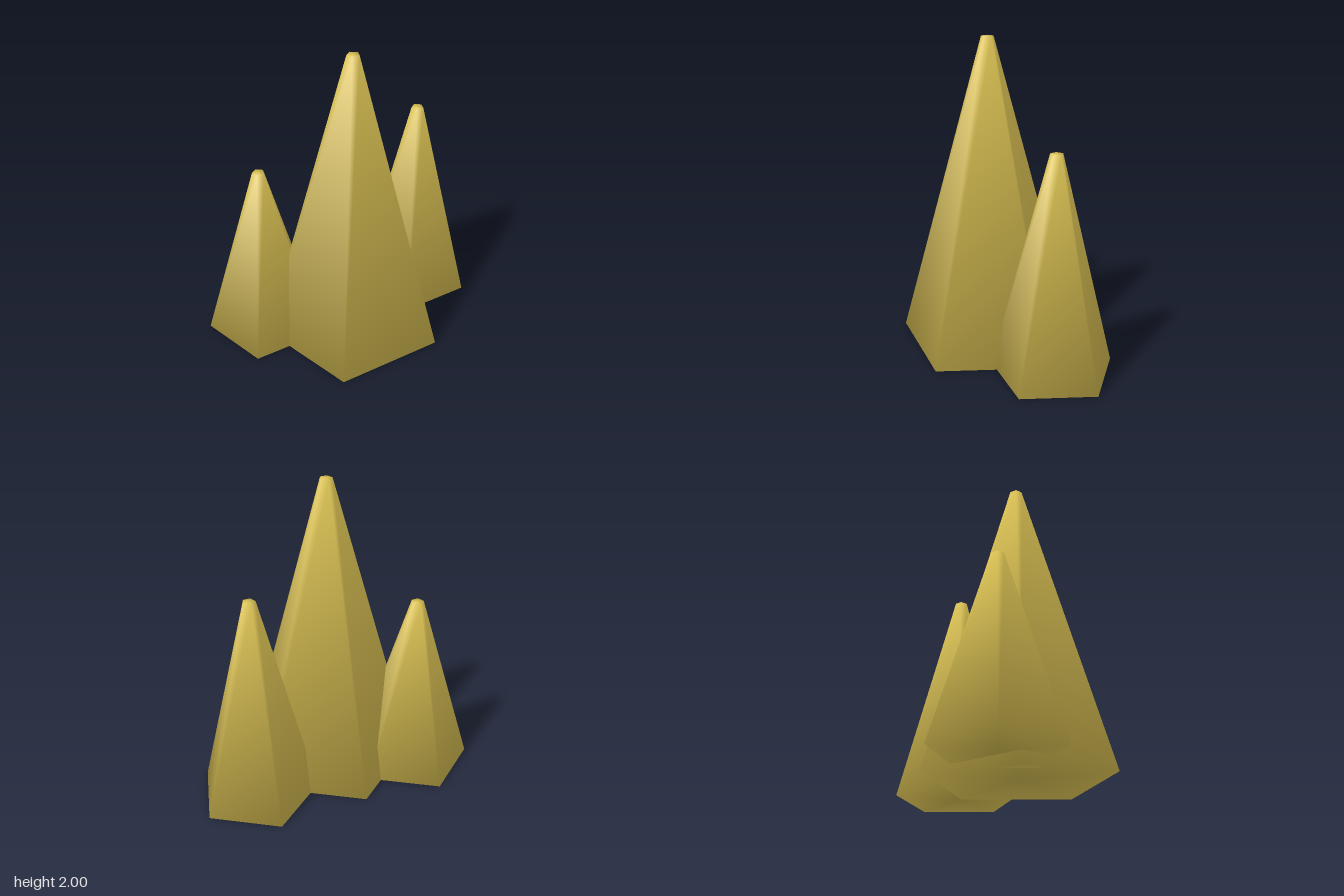
import * as THREE from 'three';

// Five-sided tapered spike whose normals are shared between sides and caps
function spikeGeometry(bottomRadius, topRadius, height) {
  const geometry = new THREE.CylinderGeometry(topRadius, bottomRadius, height, 5, 1, false, Math.PI);
  geometry.translate(0, height / 2, 0);
  const position = geometry.attributes.position;
  const normal = geometry.attributes.normal;
  const n = new THREE.Vector3();

  // Angle-weighted rim normals: one cap corner plus two side corners
  const inset = (bottomRadius - topRadius) * Math.cos(Math.PI / 5);
  const slope = Math.atan2(inset, height);
  const halfEdge = (bottomRadius - topRadius) * Math.sin(Math.PI / 5);
  const lean = Math.atan2(halfEdge, Math.hypot(inset, height));
  const capAngle = Math.PI * 0.6;

  for (let i = 0; i < position.count; i++) {
    n.set(position.getX(i), 0, position.getZ(i));
    if (n.length() < 1e-5) continue; // cap centres keep their own normal
    const top = position.getY(i) > height / 2;
    const sideAngle = 2 * (Math.PI / 2 + (top ? lean : -lean));
    n.normalize().multiplyScalar(sideAngle * Math.cos(Math.PI / 5) * Math.cos(slope));
    n.y = sideAngle * Math.sin(slope) + (top ? capAngle : -capAngle);
    n.normalize();
    normal.setXYZ(i, n.x, n.y, n.z);
  }
  return geometry;
}

export function createModel() {
  const group = new THREE.Group();
  group.name = 'crystalCluster';
  const gold = new THREE.MeshStandardMaterial({ color: 0xd9c052 });
  gold.name = 'gold';

  // name, x, z, bottom radius, height
  const spikes = [
    ['tallSpike', -0.05, 0.107, 0.6, 2],
    ['leftSpike', 0.55, -0.093, 0.4, 1.4],
    ['rightSpike', -0.55, -0.193, 0.4, 1.2],
  ];
  for (const [name, x, z, radius, height] of spikes) {
    const mesh = new THREE.Mesh(spikeGeometry(radius, 0.04, height), gold);
    mesh.name = name;
    mesh.position.set(x, 0, z);
    group.add(mesh);
  }
  return group;
}
